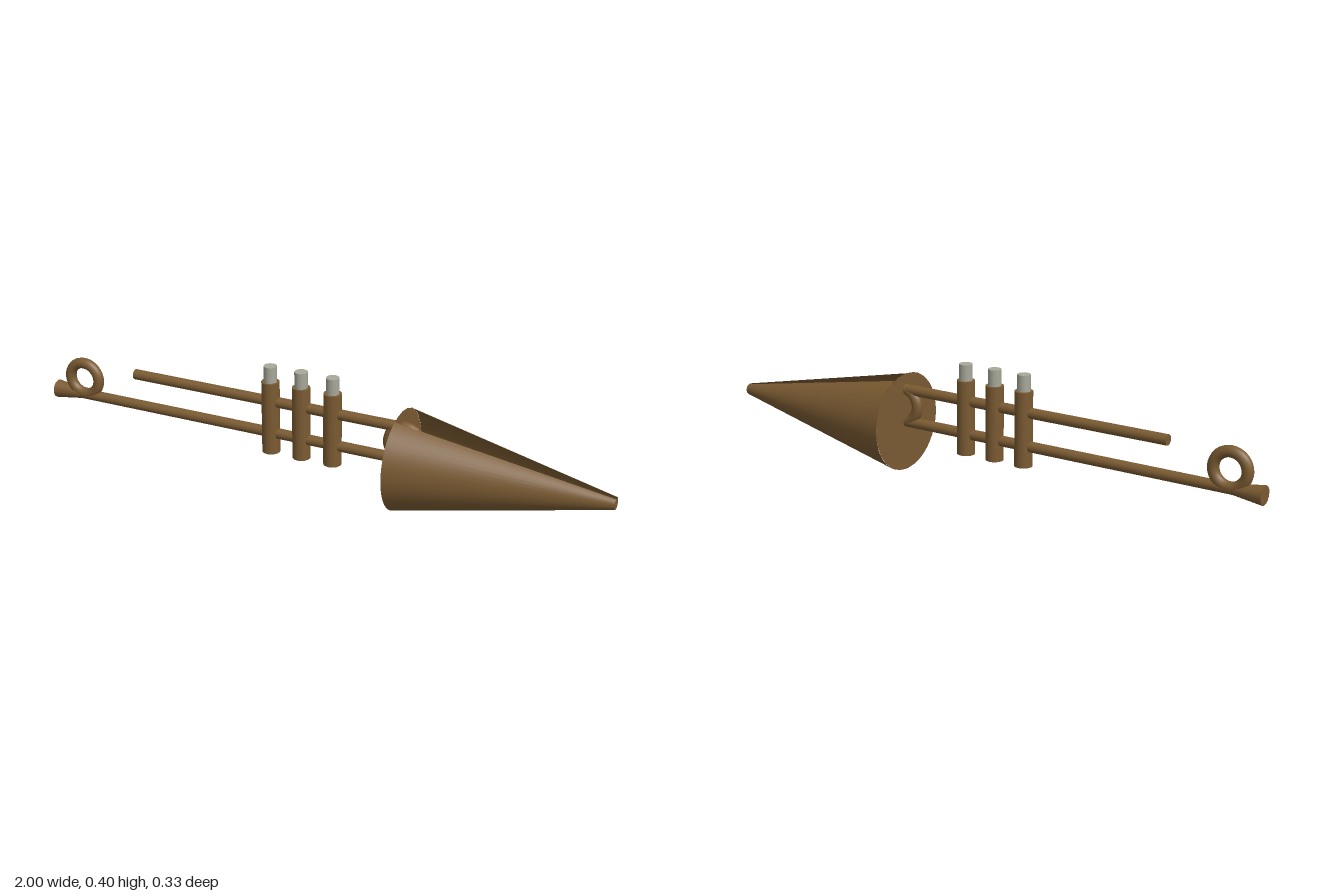
import * as THREE from 'three';

export function createModel() {
  const group = new THREE.Group();
  const brass = new THREE.MeshStandardMaterial({ name: 'agedBrass', color: 0x7b5b32 });
  const brassSheet = new THREE.MeshStandardMaterial({ name: 'agedBrassSheet', color: 0x7b5b32, side: THREE.DoubleSide });
  const steel = new THREE.MeshStandardMaterial({ name: 'steel', color: 0xa8a89a });

  const add = (name, geometry, material, x = 0, y = 0, z = 0) => {
    const mesh = new THREE.Mesh(geometry, material);
    mesh.name = name;
    mesh.position.set(x, y, z);
    group.add(mesh);
    return mesh;
  };

  // Round bar along x, from x0 (radius r0) to x1 (radius r1)
  const bar = (name, x0, x1, y, r0, r1 = r0) => {
    const geometry = new THREE.CylinderGeometry(r1, r0, x1 - x0, 16);
    geometry.rotateZ(-Math.PI / 2);
    return add(name, geometry, brass, (x0 + x1) / 2, y);
  };

  const axisY = 0.17;
  bar('mainTube', -0.95, 0.3, axisY, 0.0175);
  bar('upperTube', -0.68, 0.3, 0.282, 0.0175);
  bar('mouthpiece', -1, -0.9, axisY, 0.031, 0.0175);

  // Rings at both ends of the tubing
  add('mouthpieceRing', new THREE.TorusGeometry(0.056, 0.0185, 12, 32), brass, -0.887, 0.229);
  add('bellRing', new THREE.TorusGeometry(0.056, 0.0185, 12, 32), brass, 0.311, 0.227);

  // Valves with their buttons
  for (const x of [-0.165, -0.054, 0.058]) {
    add('valve', new THREE.CylinderGeometry(0.03, 0.03, 0.25, 16), brass, x, 0.227);
    add('valveButton', new THREE.CylinderGeometry(0.022, 0.022, 0.055, 12), steel, x, 0.379);
  }

  // Cone in two half shells, open along the top and bottom
  const arc = THREE.MathUtils.degToRad(136);
  for (const [name, middle] of [['frontBellShell', 0], ['backBellShell', Math.PI]]) {
    const shell = new THREE.CylinderGeometry(0.02, 0.167, 0.7, 18, 1, true, middle - arc / 2, arc);
    shell.rotateZ(-Math.PI / 2);
    add(name, shell, brassSheet, 0.65, axisY);
  }

  // Flat discs closing the cone's wide and narrow ends
  for (const [name, radius, x] of [['bellDisc', 0.167, 0.3], ['tipDisc', 0.02, 1]]) {
    const disc = new THREE.CircleGeometry(radius, 24);
    disc.rotateY(Math.PI / 2);
    add(name, disc, brassSheet, x, axisY);
  }

  return group;
}
